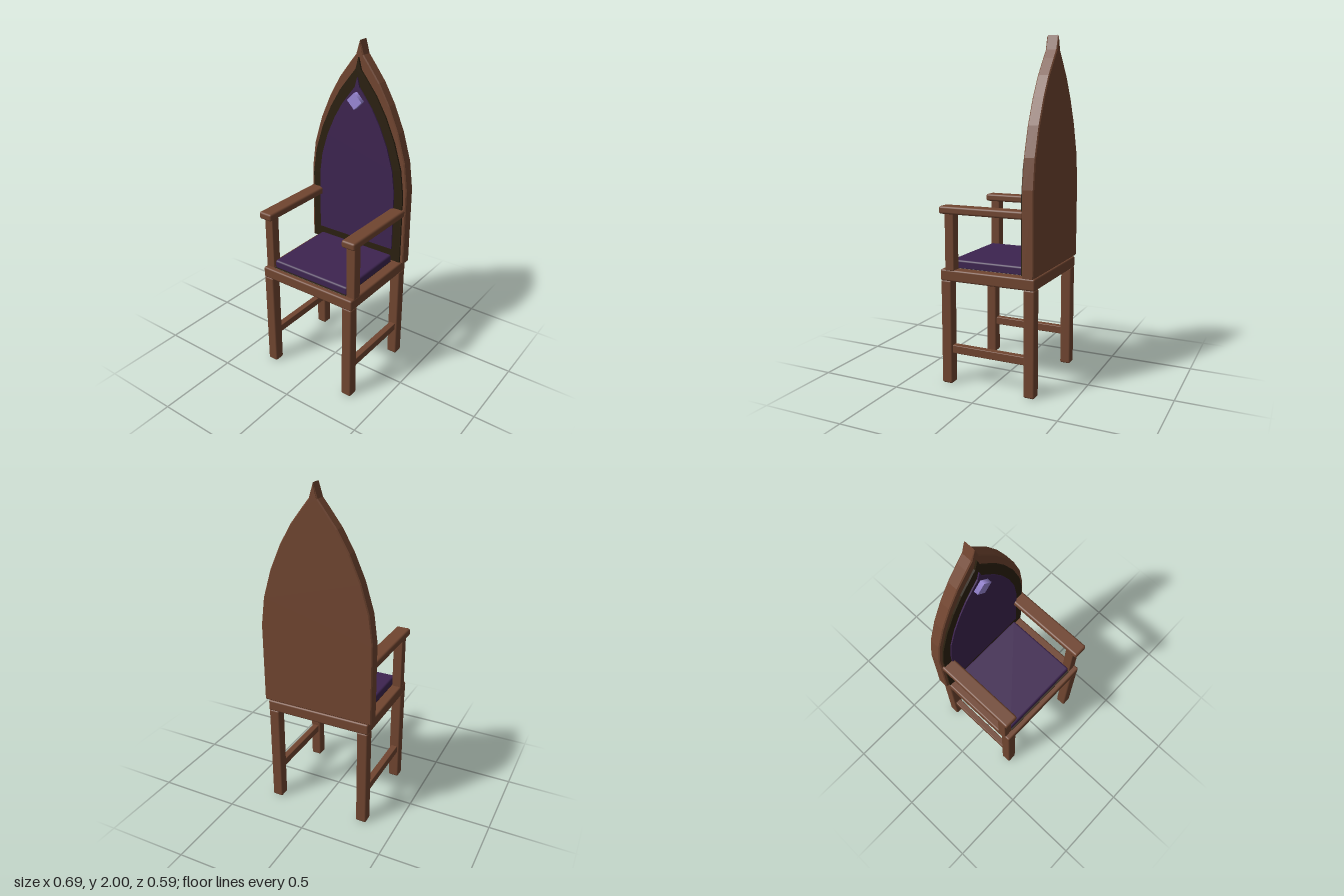
import * as THREE from 'three';
import { RoundedBoxGeometry } from 'three/addons/geometries/RoundedBoxGeometry.js';

const material = (name, color) => {
  const m = new THREE.MeshStandardMaterial({ color });
  m.name = name;
  return m;
};

// Right half of the pointed arch, from the spring line to the tip
const ARCH = [[0.345, 1.17], [0.322, 1.34], [0.27, 1.51], [0.203, 1.66], [0.133, 1.78], [0.06, 1.875], [0.02, 1.925], [0, 2]];
const BASE = 0.69, TIP = 2, HALF = 0.345;

// Pointed slab fitted to a half width, bottom, tip and depth range
function archGeometry(half, bottom, tip, z0, z1, bevel) {
  const sx = (half - bevel) / HALF;
  const low = bottom + bevel;
  const sy = (tip - bevel - low) / (TIP - BASE);
  const side = [[HALF, BASE], ...ARCH].map(([x, y]) => new THREE.Vector2(x * sx, low + (y - BASE) * sy));
  const mirrored = side.slice(0, -1).reverse().map(p => new THREE.Vector2(-p.x, p.y));
  const g = new THREE.ExtrudeGeometry(new THREE.Shape([...side, ...mirrored]), {
    depth: z1 - z0 - 2 * bevel, bevelEnabled: bevel > 0,
    bevelSize: bevel, bevelThickness: bevel, bevelSegments: 1,
  });
  g.translate(0, 0, z0 + bevel);
  return g;
}

export function createModel() {
  const chair = new THREE.Group();
  chair.name = 'highBackedChair';
  const wood = material('wood', 0x704530);
  const trim = material('darkTrim', 0x2b2010);
  const fabric = material('purpleFabric', 0x3d2450);
  const crystal = material('lavenderGem', 0x9a88d6);

  const add = (name, geometry, mat) => {
    const mesh = new THREE.Mesh(geometry, mat);
    mesh.name = name;
    chair.add(mesh);
    return mesh;
  };
  // Soft-edged box from its minimum and maximum corners
  const box = (name, mat, [x0, y0, z0], [x1, y1, z1], r = 0.01) =>
    add(name, new RoundedBoxGeometry(x1 - x0, y1 - y0, z1 - z0, 2, r), mat)
      .position.set((x0 + x1) / 2, (y0 + y1) / 2, (z0 + z1) / 2);

  // Backrest: wooden slab, dark border, upholstered panel
  add('backrest', archGeometry(HALF, BASE, TIP, -0.295, -0.225, 0.006), wood);
  add('backTrim', archGeometry(0.325, 0.7, 1.91, -0.226, -0.214, 0), trim);
  add('backPanel', archGeometry(0.27, 0.78, 1.8, -0.215, -0.206, 0), fabric);

  // Diamond gem near the top of the panel
  const gem = add('gem', new THREE.CylinderGeometry(0.05, 0.05, 0.032, 4), crystal);
  gem.rotation.x = Math.PI / 2;
  gem.position.set(0, 1.665, -0.194);

  // Seat
  box('seatFrame', wood, [-0.325, 0.618, -0.293], [0.325, 0.686, 0.295]);
  box('seatTrim', trim, [-0.265, 0.68, -0.222], [0.265, 0.688, 0.266], 0.002);
  box('cushion', fabric, [-0.265, 0.68, -0.22], [0.265, 0.735, 0.256], 0.012);

  // Legs, stretchers and arms on both sides
  for (const [side, s] of [['left', 1], ['right', -1]]) {
    const pair = (name, inner, outer, y0, y1, z0, z1, r) => {
      const a = Math.min(s * inner, s * outer), b = Math.max(s * inner, s * outer);
      box(side + name, wood, [a, y0, z0], [b, y1, z1], r);
    };
    pair('FrontLeg', 0.257, 0.323, 0, 0.622, 0.228, 0.294);
    pair('BackLeg', 0.257, 0.323, 0, 0.622, -0.292, -0.226);
    pair('Stretcher', 0.27, 0.31, 0.185, 0.233, -0.235, 0.235, 0.004);
    pair('ArmPost', 0.267, 0.325, 0.68, 1.02, 0.206, 0.264, 0.006);
    pair('Armrest', 0.252, 0.34, 1.01, 1.055, -0.23, 0.294, 0.012);
  }
  return chair;
}
